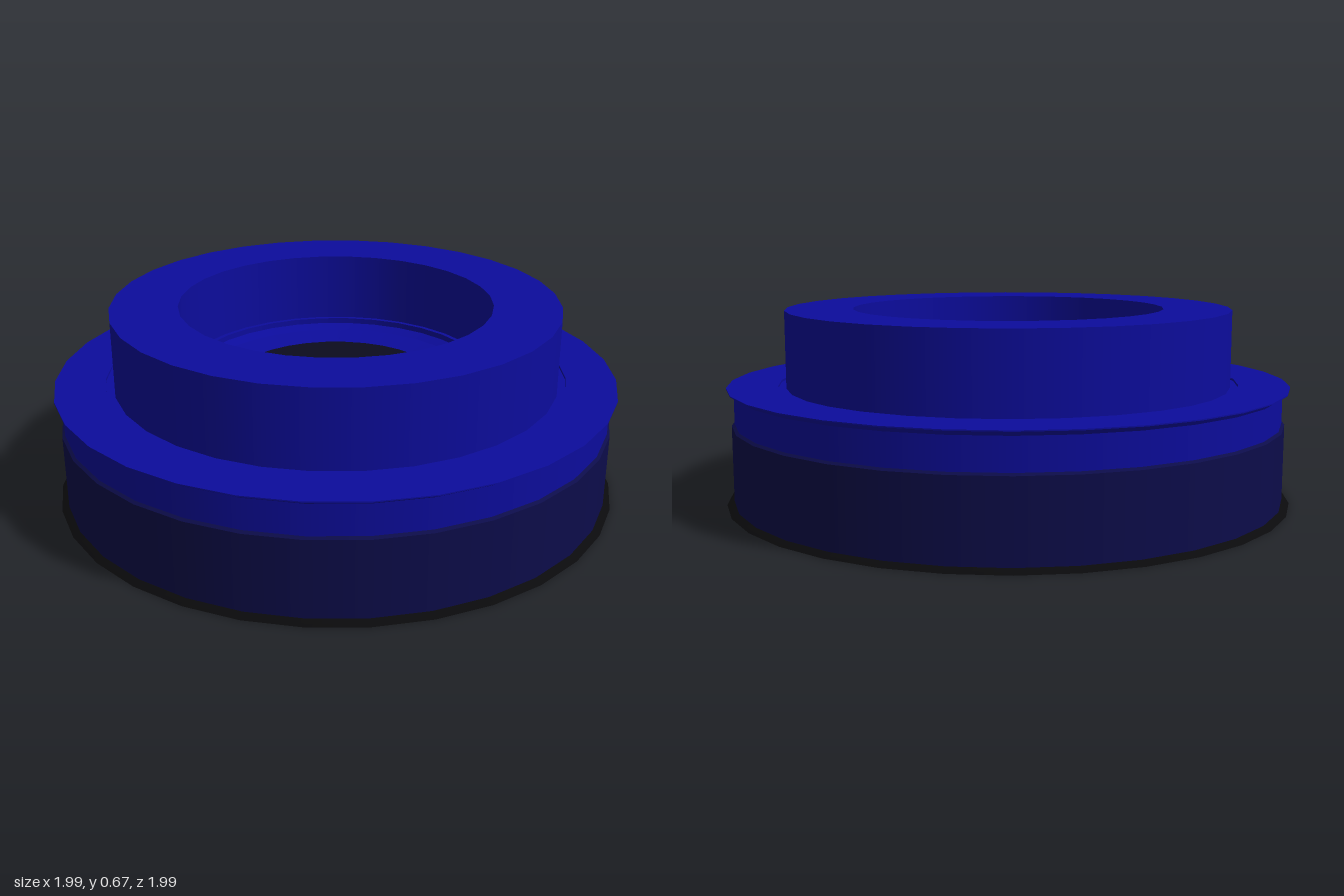
import * as THREE from 'three';
import { mergeGeometries } from 'three/addons/utils/BufferGeometryUtils.js';

const SEGMENTS = 32;

function material(name, color) {
  const m = new THREE.MeshStandardMaterial({ color, side: THREE.DoubleSide });
  m.name = name;
  return m;
}

// Revolve each straight run of [radius, y] points on its own: round sides, crisp edges.
function turned(name, profile, mat) {
  const runs = [];
  for (let i = 1; i < profile.length; i++) {
    const pair = [profile[i - 1], profile[i]].map(([r, y]) => new THREE.Vector2(r, y));
    runs.push(new THREE.LatheGeometry(pair, SEGMENTS));
  }
  const mesh = new THREE.Mesh(mergeGeometries(runs), mat);
  mesh.name = name;
  return mesh;
}

export function createModel() {
  const blue = material('blue', 0x0c0c9c);
  const navy = material('navy', 0x0c0c4a);
  const black = material('black', 0x0a0a0c);
  const darkCentre = material('dark centre', 0x0c0c1e);

  const model = new THREE.Group();
  model.name = 'steppedCap';
  model.add(
    // Flared edge the cap stands on
    turned('bottomRim', [[0.968, 0], [0.995, 0], [0.985, 0.006], [0.97, 0.014]], black),
    // Open dark skirt
    turned('skirt', [[0.97, 0.01], [0.97, 0.278], [0.96, 0.285]], navy),
    // Blue band with its thin overhanging flange
    turned('band', [[0.96, 0.285], [0.96, 0.39], [0.968, 0.402], [0.985, 0.406], [0.985, 0.41], [0.81, 0.41]], blue),
    // Raised hollow ring
    turned('hub', [[0.81, 0.41], [0.81, 0.402], [0.782, 0.402], [0.782, 0.67], [0.547, 0.67], [0.547, 0.42]], blue),
    // Stepped floor of the central well
    turned('wellFloor', [[0.547, 0.42], [0.53, 0.42], [0.53, 0.4], [0.49, 0.386], [0.4, 0.372], [0.38, 0.37]], blue),
    // Dark disc closing the well
    turned('centreDisc', [[0, 0.364], [0.4, 0.364], [0.385, 0.374], [0, 0.374]], darkCentre),
  );
  return model;
}
